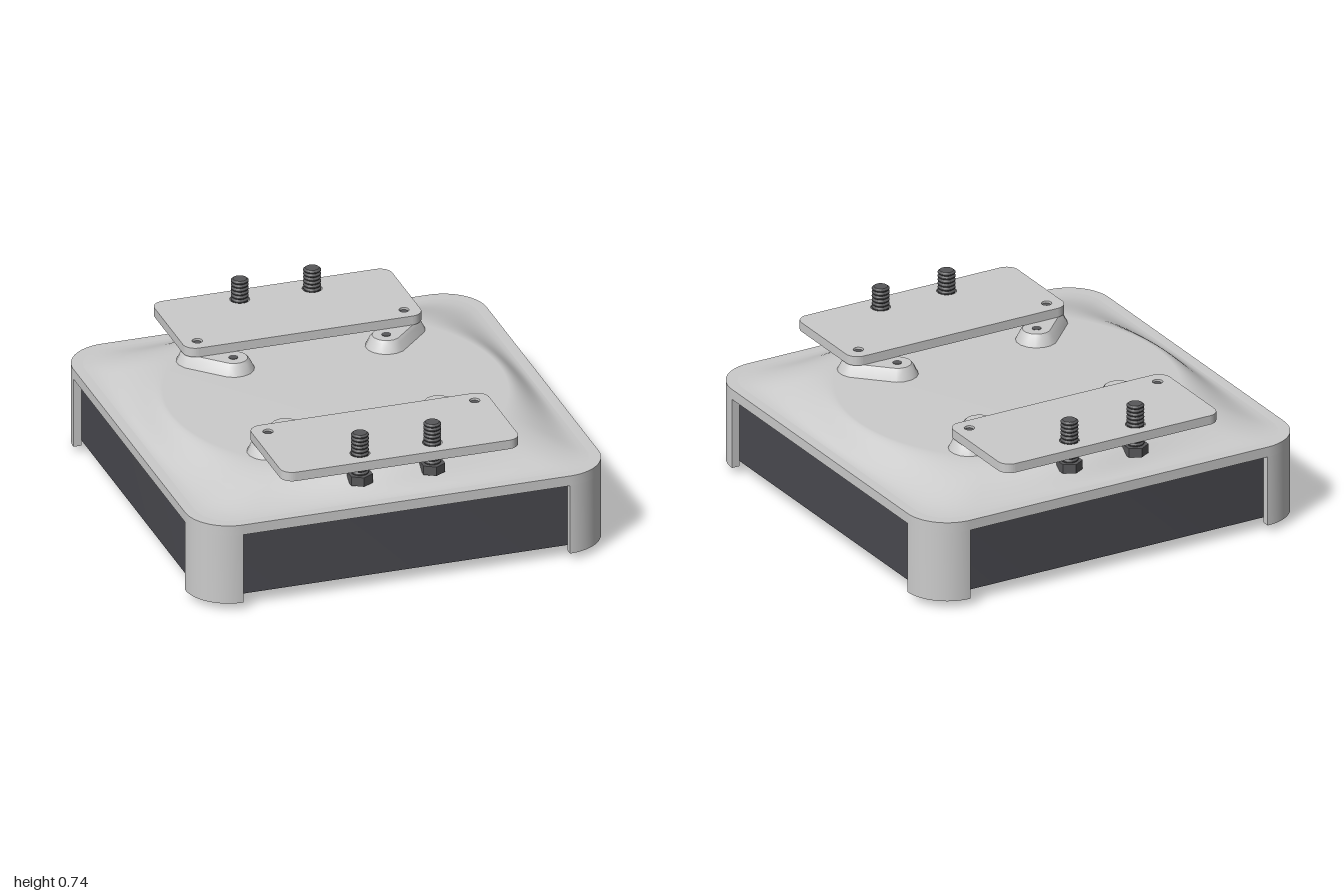
import * as THREE from 'three';
import { toCreasedNormals } from 'three/addons/utils/BufferGeometryUtils.js';
import { ConvexGeometry } from 'three/addons/geometries/ConvexGeometry.js';

const grey = new THREE.MeshStandardMaterial({ color: 0xcccccc });
const dark = new THREE.MeshStandardMaterial({ color: 0x4a4a50 });
const steel = new THREE.MeshStandardMaterial({ color: 0x58585a });

function roundedRect(hw, hh, r) {
  const s = new THREE.Shape();
  s.absarc(hw - r, hh - r, r, 0, Math.PI / 2);
  s.absarc(-hw + r, hh - r, r, Math.PI / 2, Math.PI);
  s.absarc(-hw + r, -hh + r, r, Math.PI, Math.PI * 1.5);
  s.absarc(hw - r, -hh + r, r, Math.PI * 1.5, Math.PI * 2);
  s.closePath();
  return s;
}

function addHole(shape, x, y, r) {
  const hole = new THREE.Path();
  hole.absarc(x, y, r, 0, Math.PI * 2, true);
  shape.holes.push(hole);
}

// Upright slab from a plan outline, between two heights
function slab(shape, y0, y1) {
  const g = new THREE.ExtrudeGeometry(shape, { depth: y1 - y0, bevelEnabled: false, curveSegments: 16 });
  g.rotateX(-Math.PI / 2).translate(0, y0, 0);
  return toCreasedNormals(g, 0.6);
}

function post(r, y0, y1, sides = 24) {
  return new THREE.CylinderGeometry(r, r, y1 - y0, sides).translate(0, (y0 + y1) / 2, 0);
}

function add(parent, name, geometry, material, x = 0, z = 0) {
  const mesh = new THREE.Mesh(geometry, material);
  mesh.name = name;
  mesh.position.set(x, 0, z);
  parent.add(mesh);
  return mesh;
}

// Raised top: blends from a rounded square at the rim to a round plateau
function domeGeometry() {
  const half = 0.95, corner = 0.17, k = half - corner, plateau = 0.79;
  const around = 144, rows = 12, pos = [], index = [];
  for (let j = 0; j <= rows; j++) {
    const t = j / rows, y = 0.43 + 0.1 * t * t * (3 - 2 * t);
    for (let i = 0; i < around; i++) {
      const a = (i / around) * Math.PI * 2;
      const c = Math.abs(Math.cos(a)), s = Math.abs(Math.sin(a));
      let r = half / Math.max(c, s);
      if (r * Math.min(c, s) > k) {
        const b = k * (c + s);
        r = b + Math.sqrt(b * b - 2 * k * k + corner * corner);
      }
      r += (plateau - r) * t;
      pos.push(r * Math.cos(a), y, r * Math.sin(a));
    }
  }
  const centre = pos.length / 3;
  pos.push(0, 0.53, 0);
  for (let i = 0; i < around; i++) {
    const n = (i + 1) % around;
    for (let j = 0; j < rows; j++) {
      const a = j * around + i, b = j * around + n;
      index.push(a, a + around, b, b, a + around, b + around);
    }
    index.push(rows * around + i, centre, rows * around + n);
  }
  const g = new THREE.BufferGeometry();
  g.setAttribute('position', new THREE.Float32BufferAttribute(pos, 3));
  g.setIndex(index);
  g.computeVertexNormals();
  return g;
}

// Tapered oblong boss joining two screw positions on the diagonal
function bossGeometry(sx, sz) {
  const points = [];
  for (const d of [0.37, 0.5])
    for (const [y, r] of [[0.525, 0.1], [0.57, 0.078], [0.585, 0.066]])
      for (let i = 0; i < 16; i++) {
        const a = ((i + 0.5) / 16) * Math.PI * 2;
        points.push(new THREE.Vector3(sx * d + r * Math.cos(a), y, sz * d + r * Math.sin(a)));
      }
  return toCreasedNormals(new ConvexGeometry(points), 0.45);
}

// Threaded shank as a saw-tooth profile
function threadGeometry(y0, y1, rMin, rMax, turns) {
  const pts = [new THREE.Vector2(0, y0)];
  for (let i = 0; i < turns; i++) {
    const y = y0 + ((y1 - y0) * i) / turns, p = (y1 - y0) / turns;
    pts.push(new THREE.Vector2(rMin, y), new THREE.Vector2(rMax, y + p * 0.35), new THREE.Vector2(rMax, y + p * 0.6));
  }
  pts.push(new THREE.Vector2(rMin, y1), new THREE.Vector2(0, y1));
  return toCreasedNormals(new THREE.LatheGeometry(pts, 24), 0.5);
}

export function createModel() {
  const model = new THREE.Group();
  model.name = 'mountedHousing';

  // Dark body and its round foot
  add(model, 'body', slab(roundedRect(0.96, 0.96, 0.17), 0.06, 0.365), dark);
  add(model, 'footDisc', post(0.7, 0, 0.06, 96), dark);

  // Cover: rim, raised top and four corner guards
  const cover = new THREE.Group();
  cover.name = 'cover';
  model.add(cover);
  add(cover, 'rim', slab(roundedRect(1, 1, 0.21), 0.38, 0.43), grey);
  add(cover, 'raisedTop', domeGeometry(), grey);
  const guard = new THREE.Shape();
  guard.absarc(0, 0, 0.21, 0, Math.PI / 2);
  guard.absarc(0, 0, 0.172, Math.PI / 2, 0, true);
  guard.closePath();
  const guardGeo = slab(guard, 0.035, 0.38);
  [[1, -1], [-1, -1], [-1, 1], [1, 1]].forEach(([sx, sz], i) => {
    add(cover, 'cornerGuard', guardGeo, grey, sx * 0.79, sz * 0.79).rotation.y = (i * Math.PI) / 2;
    add(cover, 'boss', bossGeometry(sx, sz), grey);
    add(cover, 'bossScrew', post(0.022, 0.5, 0.587, 16), steel, sx * 0.37, sz * 0.37);
    add(model, 'plateScrew', post(0.019, 0.36, 0.622, 16), steel, sx * 0.5, sz * 0.5);
  });

  // Mounting plates at front and back, each with two upward bolts
  const headGeo = toCreasedNormals(new THREE.CylinderGeometry(0.06, 0.06, 0.045, 6).translate(0, 0.508, 0), 0.3);
  const shankGeo = threadGeometry(0.528, 0.735, 0.032, 0.041, 11);
  for (const sz of [1, -1]) {
    const mount = new THREE.Group();
    mount.name = sz > 0 ? 'frontMount' : 'backMount';
    model.add(mount);
    const plate = roundedRect(0.575, 0.26, 0.06);
    for (const sx of [1, -1]) {
      addHole(plate, sx * 0.5, sz * 0.185, 0.024);
      addHole(plate, sx * 0.175, -sz * 0.165, 0.046);
      add(mount, 'boltHead', headGeo, steel, sx * 0.175, sz * 0.85);
      add(mount, 'boltShank', shankGeo, steel, sx * 0.175, sz * 0.85);
    }
    add(mount, 'plate', slab(plate, 0.585, 0.63), grey, 0, sz * 0.685);
  }
  return model;
}
